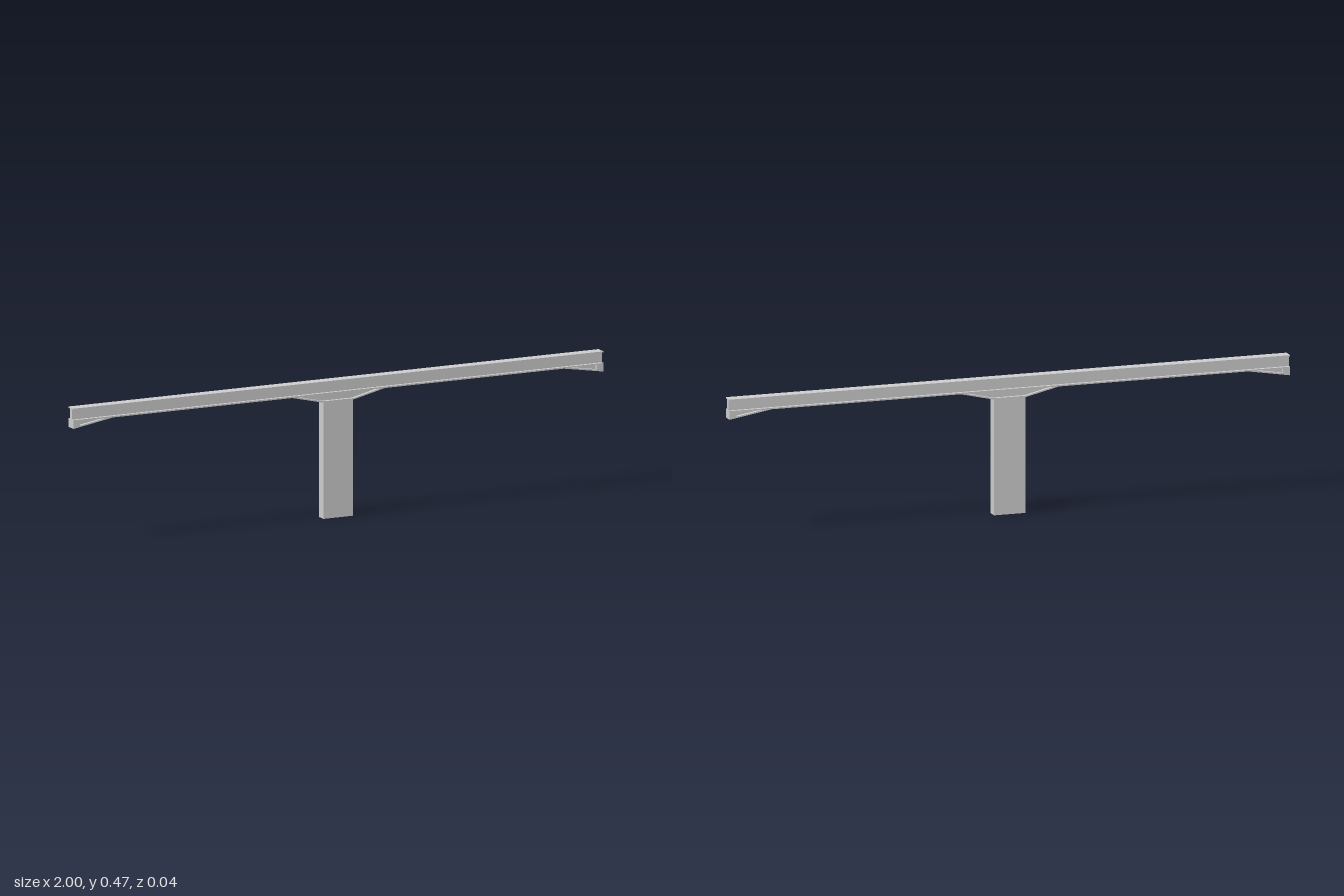
import * as THREE from 'three';

const material = new THREE.MeshStandardMaterial({ color: 0xcccccc, flatShading: true });

export function createModel() {
  const model = new THREE.Group();
  model.name = 'bridgePierAndGirder';

  // box given by its x and y limits and its full depth in z
  const box = (name, x0, x1, y0, y1, depth) => {
    const mesh = new THREE.Mesh(new THREE.BoxGeometry(x1 - x0, y1 - y0, depth), material);
    mesh.position.set((x0 + x1) / 2, (y0 + y1) / 2, 0);
    mesh.name = name;
    model.add(mesh);
  };

  // outline in the xy plane, extruded evenly about z = 0
  const slab = (name, points, depth) => {
    const shape = new THREE.Shape(points.map(([x, y]) => new THREE.Vector2(x, y)));
    const geometry = new THREE.ExtrudeGeometry(shape, { depth, bevelEnabled: false });
    geometry.translate(0, 0, -depth / 2);
    const mesh = new THREE.Mesh(geometry, material);
    mesh.name = name;
    model.add(mesh);
  };

  const width = 0.039, web = 0.017, low = 0.402, plate = 0.005;

  // pier and the I-shaped girder
  box('pier', -0.056, 0.056, 0, low, 0.035);
  box('topFlange', -1, 1, 0.471, 0.475, width);
  box('girderWeb', -1, 1, 0.434, 0.472, web);
  box('bottomFlange', -1, 1, 0.43, 0.435, width);

  // haunch over the pier: sloped bottom plate and recessed web
  slab('pierHaunchPlate', [
    [-0.175, 0.43], [-0.056, low], [0.056, low], [0.175, 0.43],
    [0.155, 0.43], [0.056, low + plate], [-0.056, low + plate], [-0.155, 0.43],
  ], width);
  slab('pierHaunchWeb', [
    [-0.155, 0.431], [-0.056, low + 0.004], [0.056, low + 0.004], [0.155, 0.431],
  ], web);

  // haunch and end block at each end of the girder
  for (const s of [-1, 1]) {
    const side = s > 0 ? 'left' : 'right';
    slab(side + 'EndHaunchPlate', [
      [s * 0.85, 0.43], [s, 0.405], [s, 0.405 + plate], [s * 0.88, 0.43],
    ], width);
    slab(side + 'EndHaunchWeb', [
      [s * 0.88, 0.431], [s * 0.99, 0.408], [s * 0.99, 0.431],
    ], web);
    slab(side + 'EndBlock', [
      [s * 0.975, 0.411], [s, 0.406], [s, 0.434], [s * 0.975, 0.434],
    ], width);
  }

  return model;
}
